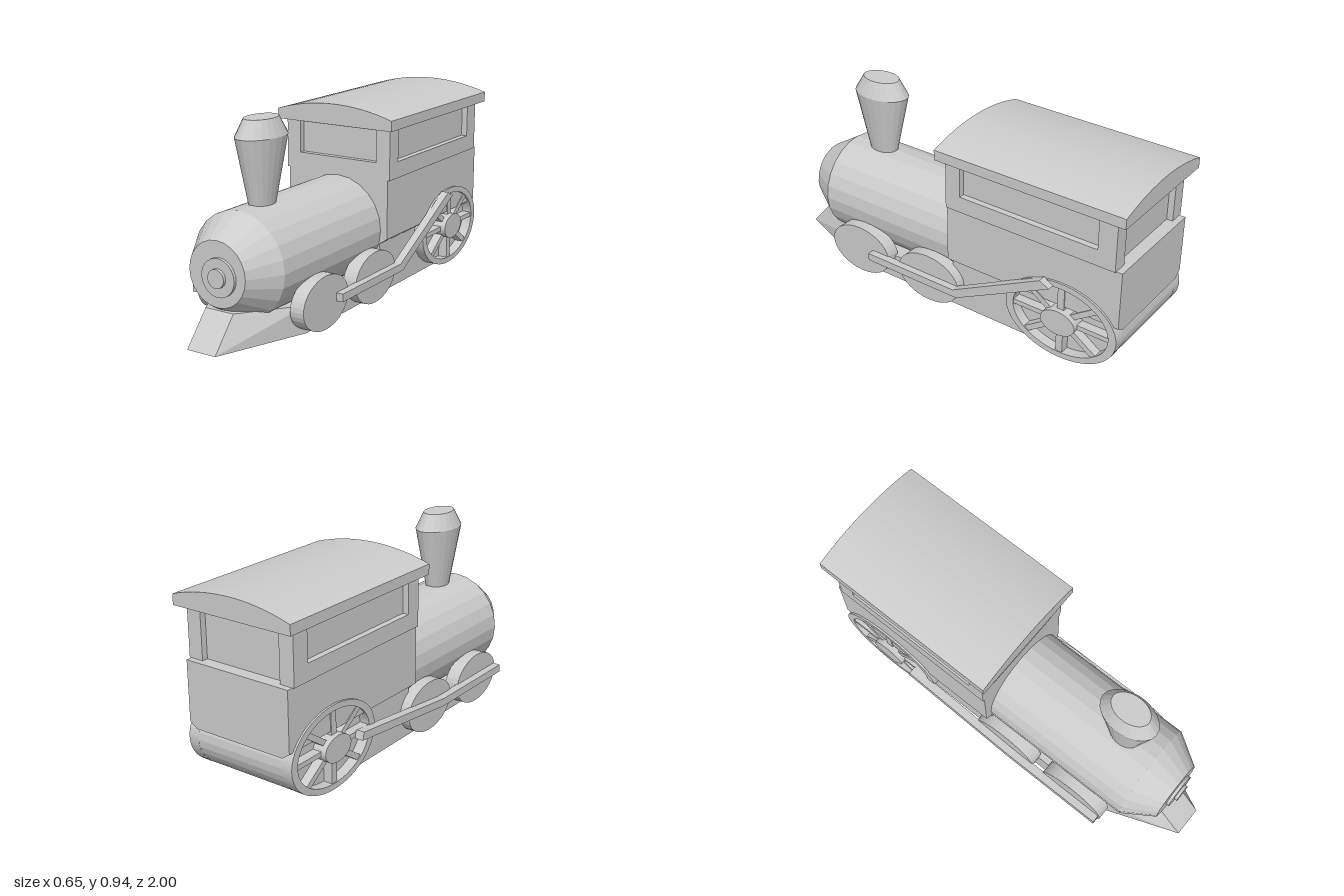
import * as THREE from 'three';
import { ConvexGeometry } from 'three/addons/geometries/ConvexGeometry.js';

export function createModel() {
  const model = new THREE.Group();
  const mat = new THREE.MeshStandardMaterial({ color: 0xcccccc, flatShading: true });

  const add = (name, geo, parent = model) => {
    const mesh = new THREE.Mesh(geo, mat);
    mesh.name = name;
    parent.add(mesh);
    return mesh;
  };
  const box = (x0, x1, y0, y1, z0, z1) =>
    new THREE.BoxGeometry(x1 - x0, y1 - y0, z1 - z0)
      .translate((x0 + x1) / 2, (y0 + y1) / 2, (z0 + z1) / 2);
  const outline = (pts) => new THREE.Shape(pts.map(([u, v]) => new THREE.Vector2(u, v)));
  const rect = (u0, u1, v0, v1) => [[u0, v0], [u1, v0], [u1, v1], [u0, v1]];
  const extrude = (shape, depth) =>
    new THREE.ExtrudeGeometry(shape, { depth, bevelEnabled: false, curveSegments: 40 });
  // Outline in (x, y), filling z0..z1
  const alongZ = (shape, z0, z1) => extrude(shape, z1 - z0).translate(0, 0, z0);
  // Outline in (z, y), filling x0..x1
  const alongX = (shape, x0, x1) => extrude(shape, x1 - x0).rotateY(-Math.PI / 2).translate(x1, 0, 0);
  const framed = (pts, hole) => {
    const s = outline(pts);
    s.holes.push(outline(hole));
    return s;
  };
  // Oval disc lying across x
  const disc = (x0, x1, y, z, ry, rz, sides = 36) =>
    new THREE.CylinderGeometry(1, 1, x1 - x0, sides).rotateZ(Math.PI / 2)
      .scale(1, ry, rz).translate((x0 + x1) / 2, y, z);

  // Boiler with tapered nose
  const boilerProfile = [[0, -0.1], [0.245, -0.1], [0.245, 0.73], [0.15, 0.88], [0, 0.88]];
  add('boiler', new THREE.LatheGeometry(boilerProfile.map(([r, z]) => new THREE.Vector2(r, z)), 24)
    .rotateX(Math.PI / 2).translate(0, 0.315, 0));
  const lamp = (r, z1) => new THREE.CylinderGeometry(r, r, z1 - 0.87, 28)
    .rotateX(Math.PI / 2).translate(0.015, 0.305, (z1 + 0.87) / 2);
  add('lampRing', lamp(0.087, 0.895));
  add('lampCentre', lamp(0.043, 0.91));

  // Chimney, oval in plan
  const chimneyProfile = [[0, 0.53], [0.047, 0.53], [0.052, 0.56], [0.098, 0.86], [0.065, 0.94], [0, 0.94]];
  add('chimney', new THREE.LatheGeometry(chimneyProfile.map(([r, y]) => new THREE.Vector2(r, y)), 22)
    .scale(1, 1, 1.52).translate(0, 0, 0.55));

  // Chassis: wedge nose, low deck, block under the cab, rounded tail
  const nosePoints = [];
  for (const s of [-1, 1]) {
    for (const [x, y, z] of [[0.075, 0, 1], [0.075, 0.15, 0.87], [0.24, 0, 0.57], [0.24, 0.13, 0.57]]) {
      nosePoints.push(new THREE.Vector3(s * x, y, z));
    }
  }
  add('cowcatcher', new ConvexGeometry(nosePoints));
  add('chassis', box(-0.24, 0.24, 0, 0.13, -0.69, 0.57));
  add('cabBase', box(-0.24, 0.24, 0.1, 0.26, -0.69, -0.06));
  add('tail', disc(-0.24, 0.24, 0.2, -0.69, 0.2, 0.29));

  // Cab: lower body with chamfered bottom edges
  add('cabLower', alongZ(outline([
    [-0.24, 0.25], [0.24, 0.25], [0.28, 0.277], [0.28, 0.565], [-0.28, 0.565], [-0.28, 0.277],
  ]), -0.98, -0.06));

  // Cab: upper walls framing recessed window panels
  const [yLow, yTop] = [0.565, 0.81];
  add('windowPanels', box(-0.26, 0.26, yLow, yTop, -0.92, -0.09));
  add('cabFrontWall', alongZ(
    framed(rect(-0.29, 0.29, yLow, yTop), rect(-0.215, 0.215, 0.645, 0.8)), -0.09, -0.06));
  for (const s of [-1, 1]) {
    const x0 = s > 0 ? 0.26 : -0.29;
    add('cabSideWall', alongX(
      framed(rect(-0.95, -0.09, yLow, yTop), rect(-0.86, -0.14, 0.645, 0.8)), x0, x0 + 0.03));
  }
  add('cabBackFrame', alongZ(outline([
    [-0.26, yLow], [-0.215, yLow], [-0.215, 0.8], [0.215, 0.8],
    [0.215, yLow], [0.26, yLow], [0.26, yTop], [-0.26, yTop],
  ]), -0.95, -0.92));

  // Arched roof
  const roofPoints = [[-0.32, 0.81], [0.32, 0.81]];
  for (let i = 0; i <= 16; i++) {
    const x = 0.32 - 0.04 * i;
    roofPoints.push([x, Math.sqrt(1.05 ** 2 - x * x) - 0.14]);
  }
  add('roof', alongZ(outline(roofPoints), -1, -0.02));

  // Wheels on both sides
  for (const s of [-1, 1]) {
    const side = new THREE.Group();
    side.name = s > 0 ? 'leftWheels' : 'rightWheels';
    model.add(side);
    const span = (a, b) => (s > 0 ? [a, b] : [-b, -a]);
    for (const z of [0.48, 0.055]) {
      add('frontWheel', disc(...span(0.22, 0.29), 0.125, z, 0.125, 0.18), side);
    }

    // Spoked driving wheel
    const rim = new THREE.Shape().absellipse(-0.69, 0.2, 0.29, 0.2, 0, Math.PI * 2);
    rim.holes.push(new THREE.Path().absellipse(-0.69, 0.2, 0.25, 0.172, 0, Math.PI * 2));
    add('driveRim', alongX(rim, ...span(0.235, 0.29)), side);
    add('driveHub', disc(...span(0.235, 0.31), 0.2, -0.69, 0.062, 0.09), side);
    for (let i = 0; i < 8; i++) {
      const spoke = new THREE.BoxGeometry(0.045, 0.15, 0.024)
        .translate(0, 0.105, 0).rotateX((i * Math.PI) / 4)
        .scale(1, 1, 1.45).translate(s * 0.2625, 0.2, -0.69);
      add('spoke', spoke, side);
    }
  }

  // Connecting rods, each at its own point of the stroke
  add('leftRod', alongX(outline([
    [0.4, 0.11], [0.4, 0.148], [-0.12, 0.148], [-0.6, 0.4], [-0.65, 0.375], [-0.14, 0.11],
  ]), 0.285, 0.325));
  add('rightRod', alongX(outline([
    [0.65, 0.11], [0.65, 0.148], [0.12, 0.148], [-0.53, 0.22], [-0.54, 0.182], [0.11, 0.11],
  ]), -0.328, -0.285));

  return model;
}
